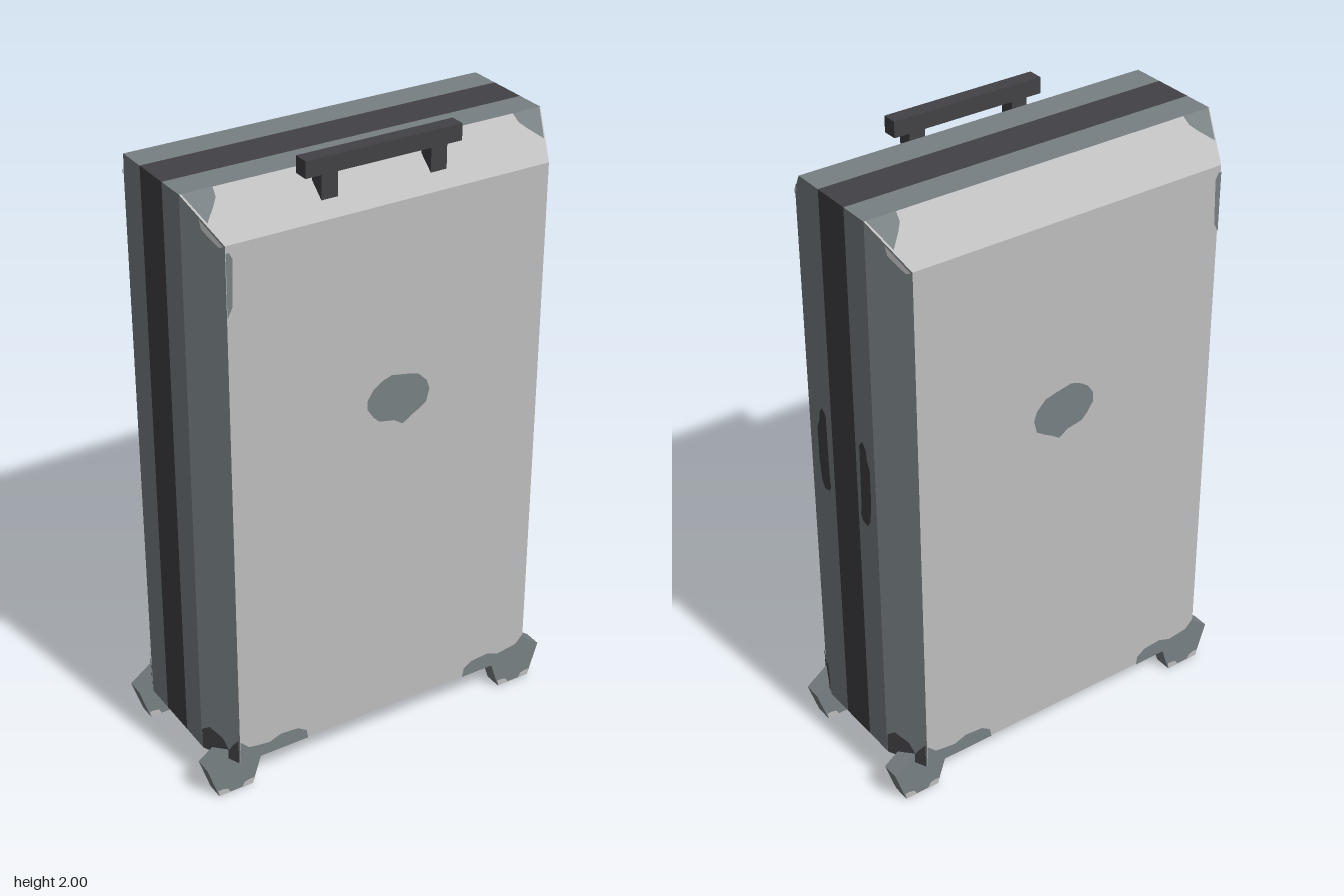
import * as THREE from 'three';

const BASE = 0.13, TOP = 1.95, PANEL_TOP = 1.84;
const HALF_W = 0.58, PANEL_W = 0.52, MID_Z = 0.16, FACE_Z = 0.29, BAND_Z = 0.063;
const LIFT = 0.003;

function material(name, color) {
  const m = new THREE.MeshStandardMaterial({ color });
  m.name = name;
  return m;
}

// Slice of the case between two depths; material order: top, sides, bottom, caps
function slice([z0, w0, t0], [z1, w1, t1]) {
  const ring = (z, w, t) => [[-w, BASE, z], [w, BASE, z], [w, t, z], [-w, t, z]];
  const b = ring(z0, w0, t0), f = ring(z1, w1, t1);
  const quads = [
    [0, f[3], f[2], b[2], b[3]],
    [1, f[1], b[1], b[2], f[2]],
    [1, b[0], f[0], f[3], b[3]],
    [2, b[0], b[1], f[1], f[0]],
    [3, f[0], f[1], f[2], f[3]],
    [3, b[1], b[0], b[3], b[2]],
  ];
  const pos = [], g = new THREE.BufferGeometry();
  quads.forEach(([mat, p, q, r, s], i) => {
    pos.push(...p, ...q, ...r, ...p, ...r, ...s);
    g.addGroup(i * 6, 6, mat);
  });
  g.setAttribute('position', new THREE.Float32BufferAttribute(pos, 3));
  g.computeVertexNormals();
  return g;
}

// Painted patch: a flat outline mapped onto a face, wound to face outward
function patchGeometry(outline, map, outward) {
  const shape = new THREE.Shape(outline.map(([u, v]) => new THREE.Vector2(u, v)));
  const g = new THREE.ShapeGeometry(shape).toNonIndexed();
  const p = g.attributes.position;
  for (let i = 0; i < p.count; i++) p.setXYZ(i, ...map(p.getX(i), p.getY(i)));
  g.computeVertexNormals();
  const n = new THREE.Vector3().fromBufferAttribute(g.attributes.normal, 0);
  if (n.dot(new THREE.Vector3(...outward)) < 0) {
    for (let i = 0; i < p.count; i += 3) {
      const a = new THREE.Vector3().fromBufferAttribute(p, i + 1);
      const b = new THREE.Vector3().fromBufferAttribute(p, i + 2);
      p.setXYZ(i + 1, b.x, b.y, b.z);
      p.setXYZ(i + 2, a.x, a.y, a.z);
    }
    g.computeVertexNormals();
  }
  return g;
}

export function createModel() {
  const light = material('lightGreyPanel', 0xbdbdbd);
  const slate = material('slateFrame', 0x788083);
  const dark = material('darkTrim', 0x424145);
  const model = new THREE.Group();
  model.name = 'suitcase';
  const add = (name, geometry, mat) => {
    const mesh = new THREE.Mesh(geometry, mat);
    mesh.name = name;
    model.add(mesh);
    return mesh;
  };
  const patch = (name, mat, outline, map, outward) =>
    add(name, patchGeometry(outline, map, outward), mat);

  // Case: bevelled shells, frame bands and central dark band
  const shell = [light, slate, light, light];
  const levels = [
    [-FACE_Z, PANEL_W, PANEL_TOP], [-MID_Z, HALF_W, TOP], [-BAND_Z, HALF_W, TOP],
    [BAND_Z, HALF_W, TOP], [MID_Z, HALF_W, TOP], [FACE_Z, PANEL_W, PANEL_TOP],
  ];
  const names = ['backShell', 'backFrame', 'centreBand', 'frontFrame', 'frontShell'];
  const mats = [shell, slate, dark, slate, shell];
  names.forEach((name, i) => add(name, slice(levels[i], levels[i + 1]), mats[i]));

  // Patches on the front and back panels
  const badge = [[-0.08, 1.22], [-0.08, 1.25], [-0.06, 1.28], [-0.03, 1.3], [0.0, 1.31],
    [0.05, 1.3], [0.09, 1.29], [0.12, 1.26], [0.13, 1.23], [0.12, 1.19], [0.09, 1.17],
    [0.07, 1.16], [0.04, 1.14], [0.01, 1.16], [-0.04, 1.17], [-0.06, 1.19]];
  const foot = [[0.52, BASE], [0.285, BASE], [0.29, 0.16], [0.32, 0.18], [0.38, 0.185],
    [0.42, 0.17], [0.46, 0.175], [0.49, 0.18], [0.52, 0.21]];
  const scuff = [[-0.52, 1.63], [-0.505, 1.66], [-0.5, 1.8], [-0.51, 1.82], [-0.52, 1.82]];
  for (const sz of [1, -1]) {
    const onPanel = (sx) => (x, y) => [x * sx, y, sz * (FACE_Z + LIFT)];
    patch('panelBadge', slate, badge, onPanel(1), [0, 0, sz]);
    patch('panelEdgePatch', slate, scuff, onPanel(1), [0, 0, sz]);
    for (const sx of [1, -1]) patch('panelCornerPatch', slate, foot, onPanel(sx), [0, 0, sz]);
  }

  // Patches on the bevels at each corner
  const bevelFoot = [[0.165, BASE], [0.165, 0.2], [0.19, 0.22], [0.235, 0.2], [0.255, 0.165],
    [0.27, 0.19], [0.288, 0.215], [0.288, BASE]];
  const bevelTip = [[0.288, 1.838], [0.218, 1.898], [0.225, 1.87], [0.25, 1.85], [0.275, 1.832]];
  const topCorner = [[0.575, 0.162], [0.482, 0.162], [0.486, 0.185], [0.505, 0.205],
    [0.54, 0.236]];
  const bevelX = (z) => HALF_W - (z - MID_Z) * (HALF_W - PANEL_W) / (FACE_Z - MID_Z);
  const bevelY = (z) => TOP - (z - MID_Z) * (TOP - PANEL_TOP) / (FACE_Z - MID_Z);
  for (const sx of [1, -1]) for (const sz of [1, -1]) {
    const onSide = (z, y) => [sx * (bevelX(z) + LIFT), y, sz * z];
    const onTop = (x, z) => [sx * x, bevelY(z) + LIFT, sz * z];
    patch('sideCornerGuard', dark, bevelFoot, onSide, [sx, 0, 0]);
    patch('sideTopPatch', light, bevelTip, onSide, [sx, 0, 0]);
    patch('topCornerPatch', slate, topCorner, onTop, [0, 1, 0]);
  }

  // Two grip slots on the left side
  const slot = [[0.08, 0.98], [0.09, 0.96], [0.115, 0.955], [0.13, 0.98], [0.138, 1.05],
    [0.138, 1.16], [0.125, 1.19], [0.122, 1.22], [0.105, 1.24], [0.088, 1.22], [0.085, 1.0]];
  for (const sz of [1, -1]) {
    patch('gripSlot', dark, slot, (z, y) => [HALF_W + LIFT, y, sz * z], [1, 0, 0]);
  }

  // Carry handle on the front upper bevel
  add('handleBar', new THREE.BoxGeometry(0.5, 0.05, 0.048), dark).position.set(0, 1.975, 0.222);
  for (const sx of [1, -1]) {
    add('handlePost', new THREE.BoxGeometry(0.052, 0.1, 0.048), dark)
      .position.set(sx * 0.175, 1.905, 0.222);
  }

  // Five-sided wheels with pale worn corners
  const R = 0.1, CY = R * Math.cos(Math.PI / 5), WX = 0.518, WZ = 0.225, WT = 0.056;
  const wheel = new THREE.CylinderGeometry(R, R, WT, 5).rotateX(-Math.PI / 2).toNonIndexed();
  wheel.computeVertexNormals();
  const worn = [[0.058, 0.001], [0.02, 0.001], [0.03, 0.018], [0.045, 0.022], [0.062, 0.022]];
  for (const sx of [1, -1]) for (const sz of [1, -1]) {
    add('wheel', wheel, slate).position.set(sx * WX, CY, sz * WZ);
    for (const side of [1, -1]) for (const m of [1, -1]) {
      patch('wheelWear', light, worn,
        (x, y) => [sx * WX + m * x, y, sz * WZ + side * (WT / 2 + 0.002)], [0, 0, side]);
    }
  }
  return model;
}
